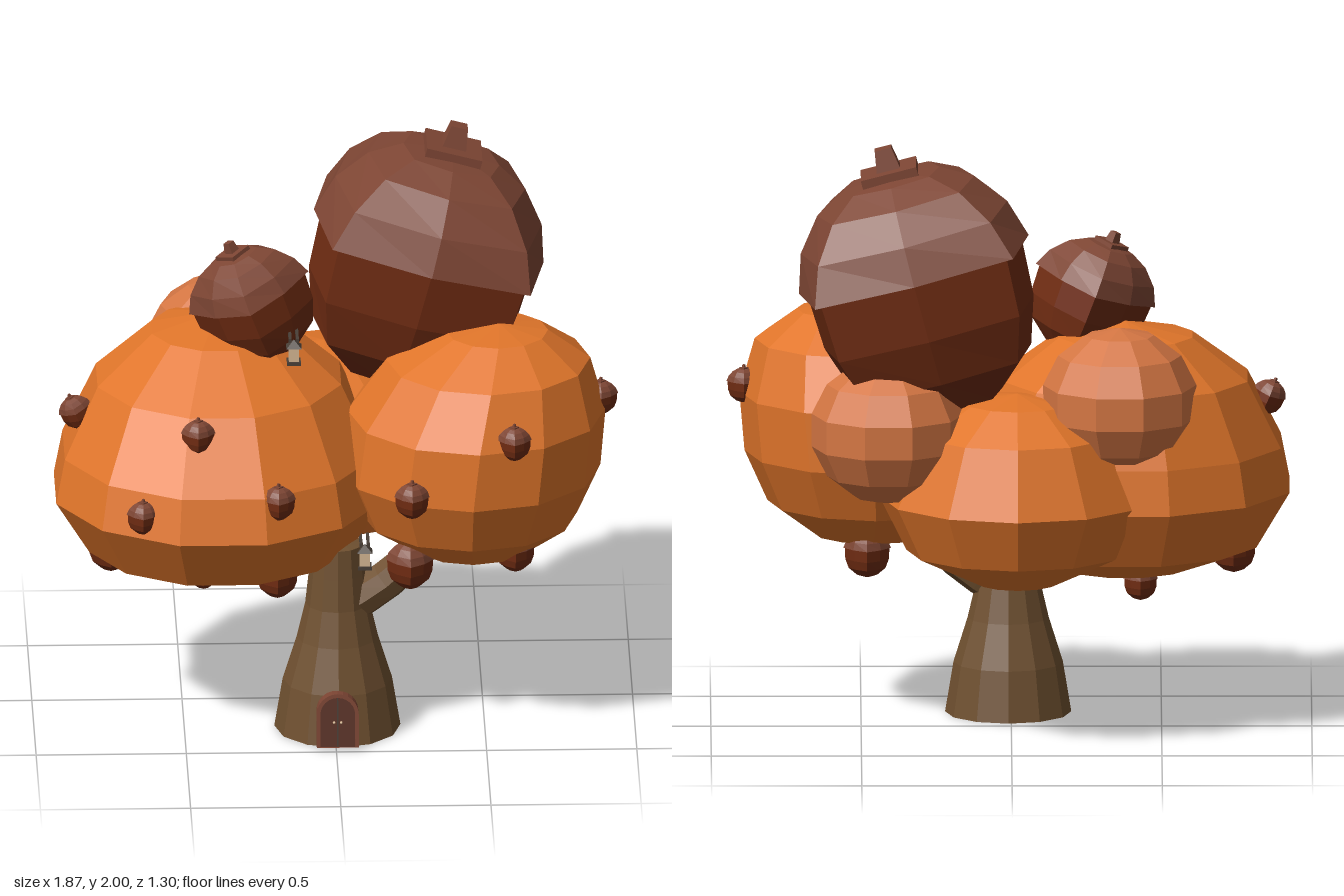
import * as THREE from 'three';

const mat = (color) => new THREE.MeshStandardMaterial({ color, flatShading: true });
const ORANGE = mat(0xe0752a), PEACH = mat(0xd47643), BARK = mat(0x6f5030);
const CAP = mat(0x7e4634), NUT = mat(0x702c12), DOOR = mat(0x5c3428);
const IRON = mat(0x4a4038), GLOW = mat(0xd8b894);

const pts = (list) => list.map(([x, y]) => new THREE.Vector2(x, y));

function add(parent, name, geometry, material, x = 0, y = 0, z = 0) {
  const mesh = new THREE.Mesh(geometry, material);
  mesh.name = name;
  mesh.position.set(x, y, z);
  parent.add(mesh);
  return mesh;
}

// Eight-sided lathe with its diagonals pushed out into a bulging square;
// profile rows are radius, height and diagonal factor
function squareLathe(profile) {
  const g = new THREE.LatheGeometry(pts(profile), 8);
  const p = g.attributes.position, n = profile.length;
  for (let i = 0; i < p.count; i++) {
    const k = Math.floor(i / n) % 2 ? profile[i % n][2] : 1;
    p.setXYZ(i, p.getX(i) * k, p.getY(i), p.getZ(i) * k);
  }
  return g;
}

const NUT_GEO = squareLathe([[0, -0.53, 1], [0.18, -0.48, 1.15], [0.31, -0.36, 1.2],
  [0.36, -0.2, 1.22], [0.37, 0, 1.22]]);
const CAP_GEO = squareLathe([[0, 0, 1], [0.36, 0, 1.22], [0.395, 0, 1.22], [0.355, 0.13, 1.18],
  [0.27, 0.24, 1.14], [0.165, 0.3, 1.12], [0, 0.32, 1]]);
const COLLAR_GEO = new THREE.BoxGeometry(0.19, 0.035, 0.19);
const STEM_GEO = new THREE.CylinderGeometry(0.04, 0.06, 0.085, 4).rotateY(Math.PI / 4);

// Acorn with its origin at the cap rim
function acorn(parent, name, [x, y, z], size, tilt, turn, stretch = 1) {
  const g = new THREE.Group();
  g.name = name;
  add(g, 'acornNut', NUT_GEO, NUT);
  add(g, 'acornCap', CAP_GEO, CAP);
  add(g, 'capCollar', COLLAR_GEO, CAP, 0, 0.318, 0);
  add(g, 'acornStem', STEM_GEO, CAP, 0, 0.365, 0);
  g.position.set(x, y, z);
  g.scale.set(size, size * stretch, size);
  g.rotation.set(0, turn, tilt, 'ZYX');
  parent.add(g);
}

// Twelve-sided leaf crown whose upper rings lean sideways
function crown(parent, name, profile, [x, z], turn, [leanX, leanZ]) {
  const g = new THREE.LatheGeometry(pts(profile), 12).rotateY(turn);
  const p = g.attributes.position;
  for (let i = 0; i < p.count; i++) {
    const f = ((p.getY(i) - 0.8) / 0.6) ** 2;
    p.setXYZ(i, p.getX(i) + leanX * f, p.getY(i), p.getZ(i) + leanZ * f);
  }
  add(parent, name, g, ORANGE, x, 0, z);
}

// Tapered limb along a curve
function limb(parent, name, points, r0, r1) {
  const curve = new THREE.CatmullRomCurve3(points.map((p) => new THREE.Vector3(...p)));
  const rings = 5, sides = 8;
  const g = new THREE.TubeGeometry(curve, rings, 1, sides);
  const p = g.attributes.position, v = new THREE.Vector3();
  for (let i = 0; i < p.count; i++) {
    const t = Math.floor(i / (sides + 1)) / rings;
    const c = curve.getPointAt(t);
    v.fromBufferAttribute(p, i).sub(c).multiplyScalar(r0 + (r1 - r0) * t).add(c);
    p.setXYZ(i, v.x, v.y, v.z);
  }
  add(parent, name, g, BARK);
}

// Small lantern on a pair of bracket bars
function lantern(parent, x, y, z) {
  const g = new THREE.Group();
  g.name = 'lantern';
  add(g, 'lanternGlass', new THREE.BoxGeometry(0.034, 0.05, 0.034), GLOW);
  add(g, 'lanternRoof', new THREE.ConeGeometry(0.036, 0.025, 4).rotateY(Math.PI / 4), IRON, 0, 0.037, 0);
  add(g, 'lanternBase', new THREE.BoxGeometry(0.046, 0.012, 0.046), IRON, 0, -0.03, 0);
  for (const s of [-1, 1]) {
    add(g, 'lanternBracket', new THREE.BoxGeometry(0.01, 0.014, 0.1), IRON, s * 0.012, 0.045, -0.05);
  }
  g.position.set(x, y, z);
  parent.add(g);
}

function archShape(w, h) {
  const s = new THREE.Shape();
  s.moveTo(-w, 0);
  s.lineTo(w, 0);
  s.lineTo(w, h - w);
  s.absarc(0, h - w, w, 0, Math.PI, false);
  s.lineTo(-w, 0);
  return s;
}

export function createModel() {
  const tree = new THREE.Group();
  tree.name = 'acornTreeHouse';

  // Trunk and branches
  add(tree, 'trunk', new THREE.LatheGeometry(pts([[0, 0], [0.21, 0], [0.182, 0.17], [0.135, 0.32],
    [0.107, 0.44], [0.095, 0.55], [0.085, 0.65], [0, 0.66]]), 12), BARK, 0.01, 0, 0.25);
  limb(tree, 'sideBranch', [[0.02, 0.42, 0.25], [0.15, 0.5, 0.255], [0.25, 0.59, 0.26], [0.36, 0.72, 0.26]], 0.075, 0.055);
  limb(tree, 'backBranch', [[0.01, 0.5, 0.24], [0.01, 0.57, 0.08], [0.01, 0.6, -0.06], [0, 0.7, -0.18]], 0.065, 0.045);

  // Leaf crowns
  crown(tree, 'largeCrown', [[0, 0.51], [0.22, 0.53], [0.45, 0.61], [0.565, 0.8], [0.535, 0.95],
    [0.42, 1.18], [0.23, 1.33], [0, 1.38]], [-0.38, 0.105], Math.PI / 12, [0, -0.13]);
  crown(tree, 'rightCrown', [[0, 0.61], [0.2, 0.62], [0.36, 0.73], [0.435, 0.9], [0.43, 1.1],
    [0.34, 1.28], [0.17, 1.38], [0, 1.405]], [0.45, 0.19], 0, [0.1, 0]);
  crown(tree, 'backCrown', [[0, 0.52], [0.13, 0.53], [0.37, 0.64], [0.46, 0.82], [0.35, 1.05],
    [0.18, 1.15], [0, 1.18]], [-0.02, -0.19], 0, [0, -0.15]);

  // Pale leaf tufts at the back
  for (const [x, y, z] of [[0.41, 1.065, -0.29], [-0.36, 1.155, -0.255]]) {
    add(tree, 'leafTuft', new THREE.SphereGeometry(0.262, 10, 7), PEACH, x, y, z).scale.y = 0.95;
  }

  // Acorn houses on top
  acorn(tree, 'largeAcornHouse', [0.325, 1.595, -0.13], 1, -0.255, 0);
  acorn(tree, 'smallAcornHouse', [-0.28, 1.48, 0.08], 0.44, 0.36, Math.PI / 4, 1.08);

  // Acorns on the crowns: rim position, size, tilt
  const fruit = [
    [-0.46, 1.14, 0.49, 0.12], [-0.645, 0.88, 0.56, 0.115], [-0.195, 0.94, 0.59, 0.12],
    [0.25, 0.94, 0.58, 0.125], [0.59, 1.14, 0.58, 0.12], [0.89, 1.14, 0.16, 0.12],
    [-0.86, 1.1, 0.15, 0.12, 0.4],
    [-0.74, 0.6, 0.1, 0.16], [-0.43, 0.49, 0.055, 0.12], [-0.19, 0.55, 0.25, 0.15],
    [0.25, 0.62, 0.33, 0.17], [0.48, 0.6, 0.03, 0.165], [0.6, 0.66, 0.33, 0.14],
  ];
  for (const [x, y, z, size, tilt = 0] of fruit) {
    acorn(tree, 'hangingAcorn', [x, y, z], size, tilt, Math.PI / 4, 1.15);
  }

  // Arched double door
  const door = new THREE.Group();
  door.name = 'door';
  const extrude = (shape, depth) => new THREE.ExtrudeGeometry(shape, { depth, bevelEnabled: false, curveSegments: 6 });
  const frame = archShape(0.07, 0.185);
  frame.holes.push(archShape(0.058, 0.172));
  add(door, 'doorFrame', extrude(frame, 0.06), CAP);
  add(door, 'doorPanel', extrude(archShape(0.06, 0.174), 0.05), DOOR);
  add(door, 'doorSeam', new THREE.BoxGeometry(0.004, 0.17, 0.004), IRON, 0, 0.086, 0.05);
  for (const s of [-1, 1]) add(door, 'doorKnob', new THREE.SphereGeometry(0.005, 6, 4), GLOW, s * 0.012, 0.085, 0.053);
  door.position.set(0.005, 0.003, 0.425);
  door.rotation.x = -0.1;
  tree.add(door);

  // Lanterns by the small house and under the crown
  lantern(tree, -0.135, 1.33, 0.255);
  lantern(tree, 0.1, 0.61, 0.29);
  return tree;
}
